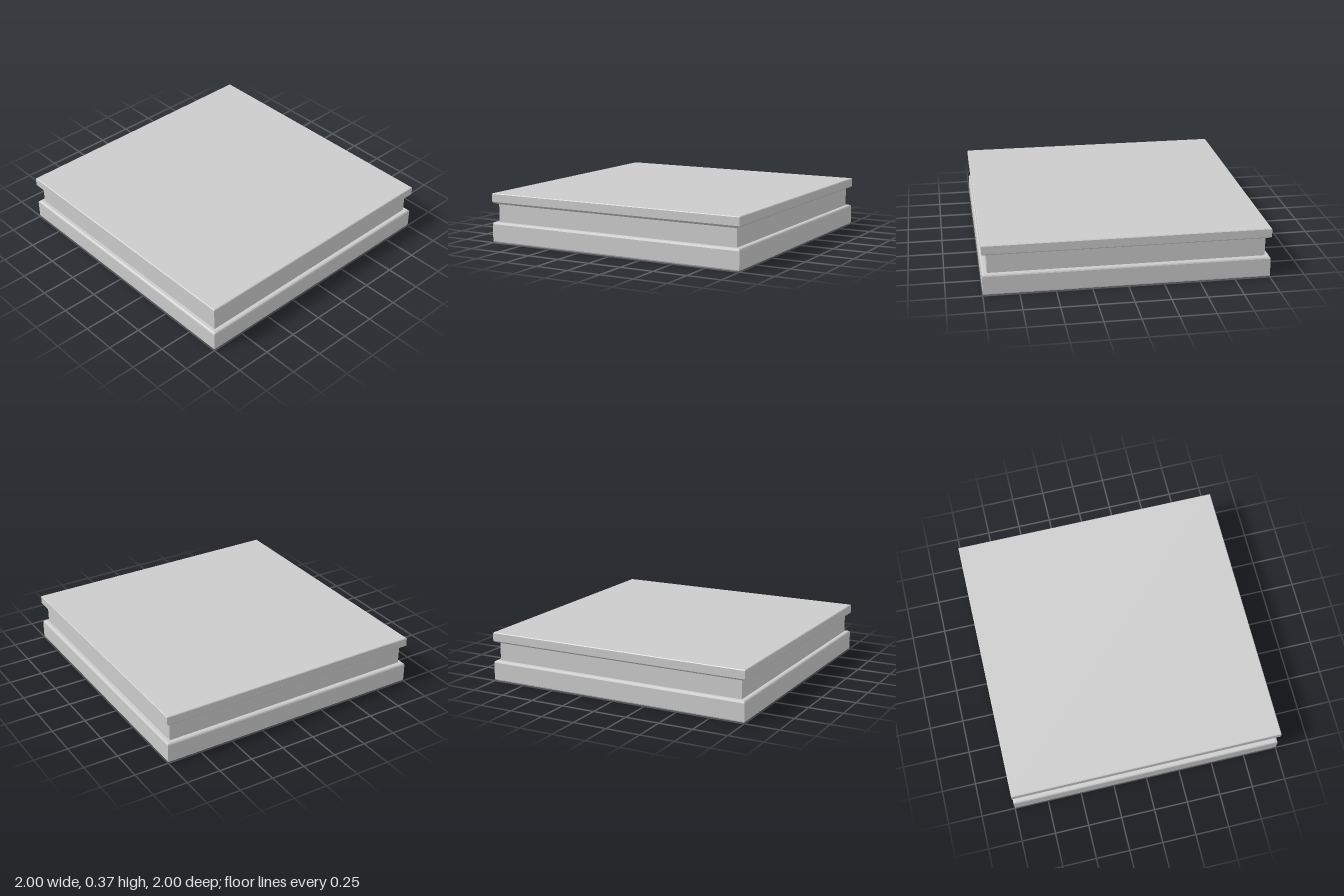
import * as THREE from 'three';

const material = new THREE.MeshStandardMaterial({
  color: 0xcccccc, flatShading: true, side: THREE.DoubleSide,
});

// Sweeps a profile of [half width, height] points around a square
function squareBand(name, profile) {
  const points = profile.map(([w, y]) => new THREE.Vector2(w * Math.SQRT2, y));
  const geometry = new THREE.LatheGeometry(points, 4, Math.PI / 4).toNonIndexed();
  geometry.computeVertexNormals();
  const mesh = new THREE.Mesh(geometry, material);
  mesh.name = name;
  return mesh;
}

export function createModel() {
  const group = new THREE.Group();
  group.name = 'hollowPlinth';

  // Base band, open underneath, with softened edges and a ledge on top
  group.add(squareBand('baseBand', [
    [0.988, 0], [0.996, 0.004], [1, 0.012],
    [1, 0.138], [0.996, 0.147], [0.988, 0.152], [0.965, 0.152],
  ]));

  // Recessed wall between base and rim
  group.add(squareBand('recessedWall', [[0.965, 0.152], [0.965, 0.282]]));

  // Rim that flares out to the top edge
  group.add(squareBand('topRim', [
    [0.965, 0.282], [0.992, 0.294], [1, 0.302], [1, 0.36], [0.995, 0.365],
  ]));

  // Thin top panel
  const panel = new THREE.Mesh(new THREE.PlaneGeometry(1.99, 1.99), material);
  panel.name = 'topPanel';
  panel.rotation.x = -Math.PI / 2;
  panel.position.y = 0.365;
  group.add(panel);

  return group;
}
